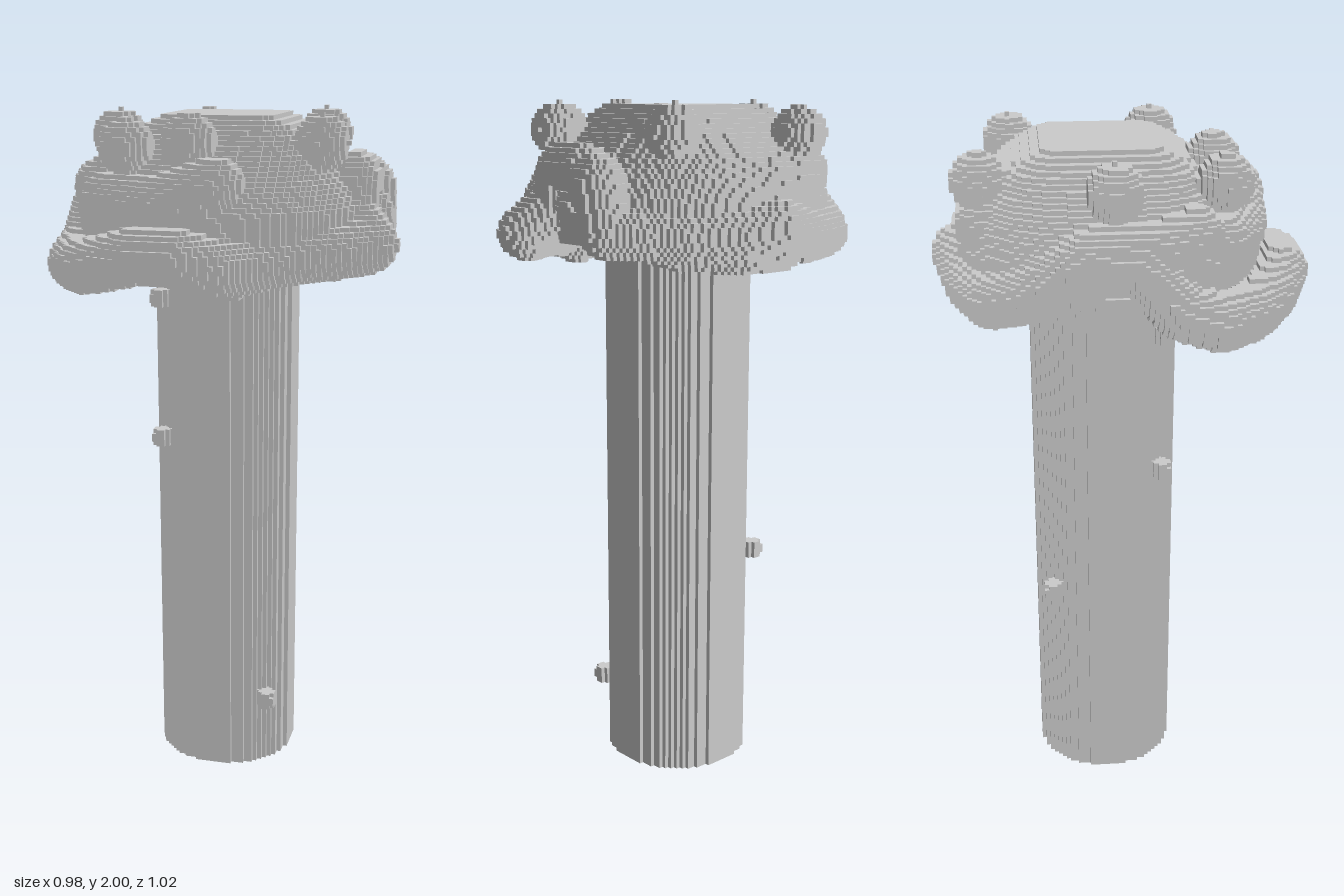
import * as THREE from 'three';

const S = 0.0125; // voxel edge
const CX = -0.0375, CZ = -0.04375; // trunk axis
const mat = new THREE.MeshStandardMaterial({ color: 0xcccccc });

// Outer faces of every cell whose centre satisfies inside(x, y, z)
function voxelMesh(name, inside, min, count, cell) {
  const [nx, ny, nz] = count;
  const grid = new Uint8Array(nx * ny * nz);
  const id = (c) => c[0] + nx * (c[1] + ny * c[2]);
  const cells = [];
  for (let k = 0; k < nz; k++)
    for (let j = 0; j < ny; j++)
      for (let i = 0; i < nx; i++) {
        const c = [i, j, k];
        const p = c.map((n, a) => min[a] + (n + 0.5) * cell[a]);
        if (inside(...p)) { grid[id(c)] = 1; cells.push(c); }
      }
  const filled = (c) => c.every((n, a) => n >= 0 && n < count[a]) && grid[id(c)];
  const pos = [], nor = [];
  for (const c of cells)
    for (let d = 0; d < 3; d++)
      for (const s of [-1, 1]) {
        const next = c.slice();
        next[d] += s;
        if (filled(next)) continue;
        const u = (d + 1) % 3, v = (d + 2) % 3;
        const ring = [[0, 0], [1, 0], [1, 1], [0, 1]];
        if (s < 0) ring.reverse();
        for (const n of [0, 1, 2, 0, 2, 3]) {
          const q = c.slice();
          if (s > 0) q[d] += 1;
          q[u] += ring[n][0];
          q[v] += ring[n][1];
          for (let a = 0; a < 3; a++) {
            pos.push(min[a] + q[a] * cell[a]);
            nor.push(a === d ? s : 0);
          }
        }
      }
  const g = new THREE.BufferGeometry();
  g.setAttribute('position', new THREE.Float32BufferAttribute(pos, 3));
  g.setAttribute('normal', new THREE.Float32BufferAttribute(nor, 3));
  const mesh = new THREE.Mesh(g, mat);
  mesh.name = name;
  return mesh;
}

// Is the point within r of segment a-b?
function inCapsule(x, y, z, a, b, r) {
  const d = [b[0] - a[0], b[1] - a[1], b[2] - a[2]];
  const l = d[0] ** 2 + d[1] ** 2 + d[2] ** 2 || 1;
  const t = Math.min(1, Math.max(0,
    ((x - a[0]) * d[0] + (y - a[1]) * d[1] + (z - a[2]) * d[2]) / l));
  return Math.hypot(x - a[0] - t * d[0], y - a[1] - t * d[1], z - a[2] - t * d[2]) < r;
}

// Dome profile: height, half width, squareness of the contour, centre z
const dome = [
  [1.6, 0.38, 2.2, -0.03], [1.66, 0.42, 2.2, -0.03], [1.74, 0.415, 2.3, -0.03],
  [1.8, 0.385, 2.4, -0.04], [1.85, 0.343, 2.6, -0.05], [1.895, 0.297, 3, -0.05],
  [1.93, 0.255, 4, -0.05], [1.955, 0.215, 5, -0.05], [1.97, 0.187, 7, -0.05],
  [1.99, 0.14, 10, -0.05],
];
function inDome(x, y, z) {
  if (y < 1.61 || y > 1.9875) return false;
  const i = dome.findIndex((p) => p[0] >= y);
  const a = dome[i - 1], b = dome[i], t = (y - a[0]) / (b[0] - a[0]);
  const [, h, e, cz] = a.map((n, k) => n + t * (b[k] - n));
  return (Math.abs(x - CX) / h) ** e + (Math.abs(z - cz) / h) ** e < 1;
}

// Lumpy skirt around the dome's foot, as chains of rounded strokes
const strokes = [
  [[0.36, 1.66, -0.2], [0.2, 1.65, -0.335], [0.07, 1.65, -0.405], [-0.03, 1.67, -0.44],
    [-0.19, 1.63, -0.4], [-0.315, 1.63, -0.35], [-0.38, 1.67, -0.25], [-0.4, 1.75, -0.13],
    [-0.4, 1.75, 0.02], [-0.41, 1.62, 0.14], [-0.41, 1.585, 0.24], [-0.355, 1.59, 0.325],
    [-0.27, 1.61, 0.39], [-0.17, 1.64, 0.435], [-0.06, 1.64, 0.435], [0.04, 1.61, 0.39],
    [0.11, 1.61, 0.32], [0.25, 1.63, 0.225], [0.33, 1.63, 0.17], [0.41, 1.64, 0.1]],
  [[0.41, 1.64, 0.1], [0.34, 1.72, 0.03], [0.34, 1.81, 0.01], [0.34, 1.81, -0.08],
    [0.36, 1.78, -0.17], [0.36, 1.66, -0.2]],
  [[0.36, 1.72, -0.1], [0.36, 1.66, -0.2]],
  [[-0.1, 1.61, -0.38], [0.03, 1.61, -0.37], [0.2, 1.63, -0.27]],
  [[-0.22, 1.63, -0.25], [0, 1.63, -0.27], [0.15, 1.65, -0.22]],
  [[-0.3, 1.77, 0.25], [-0.15, 1.76, 0.32], [0.025, 1.82, 0.335]],
  [[-0.2, 1.8, -0.37], [-0.05, 1.78, -0.37], [0.1, 1.78, -0.33]],
  [[-0.4, 1.77, -0.1], [-0.38, 1.78, 0.08], [-0.34, 1.8, 0.18]],
];
// Round buds on the crown and one hanging at the front
const buds = [
  [-0.185, 1.91, -0.375], [0.21, 1.92, -0.29], [-0.36, 1.92, -0.03], [0.27, 1.92, 0.12],
  [-0.245, 1.91, 0.265], [-0.07, 1.925, 0.255], [0.06, 1.585, 0.31],
];
const capsules = buds.map((b) => [b, b]);
for (const s of strokes)
  for (let i = 1; i < s.length; i++) capsules.push([s[i - 1], s[i]]);

export function createModel() {
  const tree = new THREE.Group();
  tree.name = 'tree';

  // Trunk: one tall layer of cells
  tree.add(voxelMesh('trunk',
    (x, y, z) => Math.hypot(x - CX, z - CZ) < 0.2085,
    [CX - 17.5 * S, 0, CZ - 17.5 * S], [35, 1, 35], [S, 1.65, S]));

  // Canopy: dome, skirt and buds
  tree.add(voxelMesh('canopy',
    (x, y, z) => inDome(x, y, z) || capsules.some(([a, b]) => inCapsule(x, y, z, a, b, 0.074)),
    [-0.5, 1.5, -0.525], [80, 40, 84], [S, S, S]));

  // Twigs: short diagonal stubs [x side, z side, height]
  for (const [sx, sz, y0] of [[1, 1, 0.219], [-1, -1, 0.65], [-1, 1, 1.05], [-1, 1, 1.47]]) {
    const a = [CX + sx * 0.13, y0, CZ + sz * 0.13];
    const b = [CX + sx * 0.165, y0, CZ + sz * 0.165];
    tree.add(voxelMesh('twig', (x, y, z) => inCapsule(x, y, z, a, b, 0.027),
      [CX + sx * 0.15 - 5 * S, y0 - 2 * S, CZ + sz * 0.15 - 5 * S], [10, 4, 10], [S, S, S]));
  }
  return tree;
}
